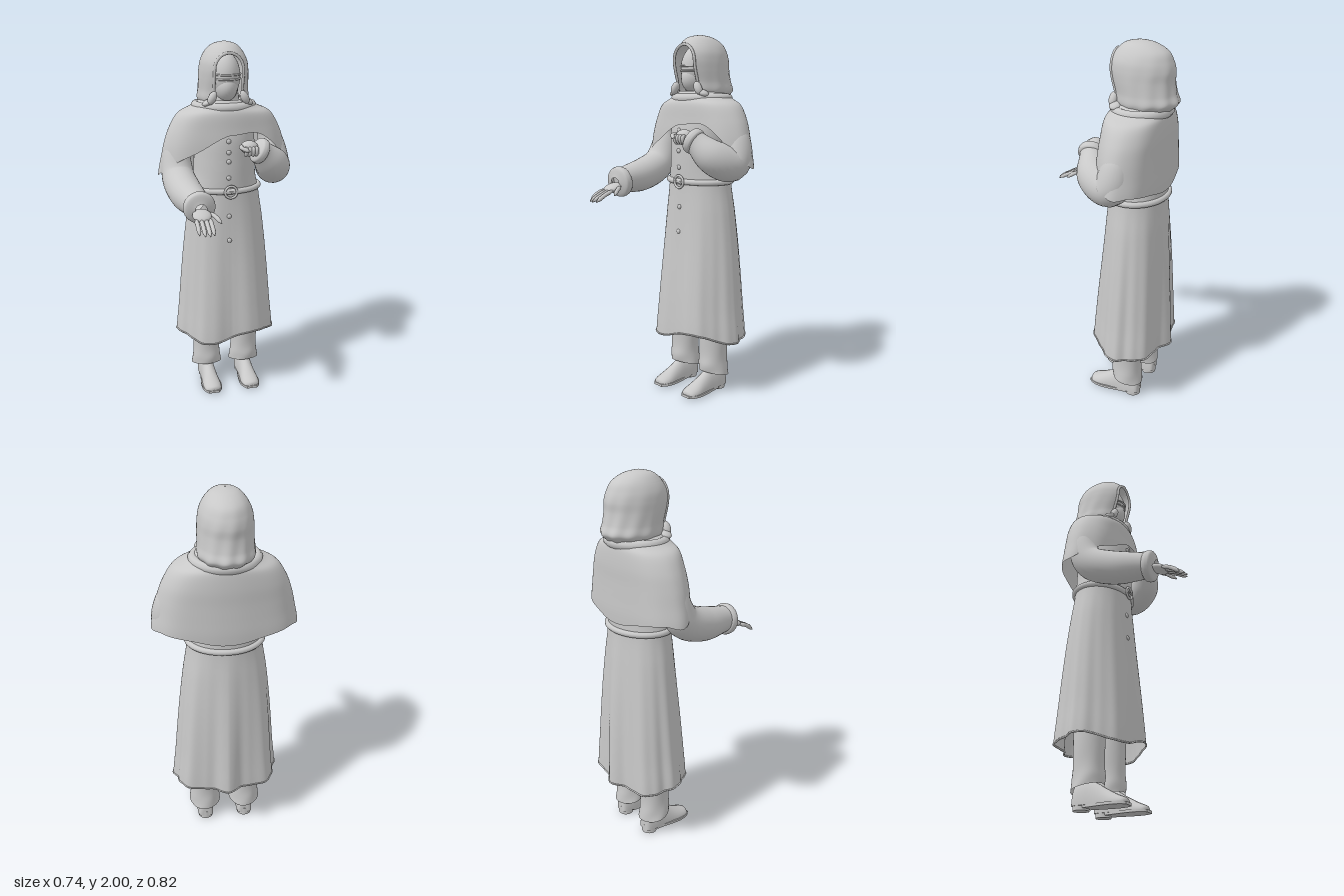
import * as THREE from 'three';

const cloth = new THREE.MeshStandardMaterial({ color: 0xc8c8c8, side: THREE.DoubleSide });
cloth.name = 'light grey';
const TAU = Math.PI * 2;
const V = (p) => new THREE.Vector3(...p);

// Smooth interpolation between evenly spaced rows of numbers, t in 0..1
function rows(table, t) {
  const n = table.length - 1;
  const i = Math.min(n - 1, Math.floor(t * n));
  const f = t * n - i;
  const [a, b, c, d] = [i - 1, i, i + 1, i + 2].map((k) => table[Math.max(0, Math.min(n, k))]);
  return b.map((q, k) => q + 0.5 * f * (c[k] - a[k]
    + f * (2 * a[k] - 5 * q + 4 * c[k] - d[k] + f * (3 * (q - c[k]) + d[k] - a[k]))));
}

// Grid surface from f(u, v) -> [x, y, z]; closed joins the u ends
function surface(nu, nv, f, closed = true) {
  const pos = [], idx = [];
  const cols = closed ? nu : nu + 1;
  for (let j = 0; j <= nv; j++) for (let i = 0; i < cols; i++) pos.push(...f(i / nu, j / nv));
  for (let j = 0; j < nv; j++) for (let i = 0; i < nu; i++) {
    const a = j * cols + i, b = j * cols + (i + 1) % cols;
    idx.push(a, a + cols, b, b, a + cols, b + cols);
  }
  const g = new THREE.BufferGeometry();
  g.setAttribute('position', new THREE.Float32BufferAttribute(pos, 3));
  g.setIndex(idx);
  g.computeVertexNormals();
  return g;
}

// Ring point: half width rx, front zf, back zb, scale k, angle 0 at the front; power under 1 squares it off
const soft = (q, power) => Math.sign(q) * Math.abs(q) ** power;
const ring = (th, y, rx, zf, zb, k = 1, power = 1) =>
  [rx * k * soft(Math.sin(th), power), y, (zf + zb) / 2 + (zf - zb) / 2 * k * soft(Math.cos(th), power)];

// Round tube of varying radius along a path
function sweep(points, radii, nu = 20, nv = 30) {
  const curve = new THREE.CatmullRomCurve3(points.map(V));
  const fr = curve.computeFrenetFrames(nv);
  return surface(nu, nv, (u, v) => {
    const j = Math.round(v * nv);
    const r = Math.max(0.001, rows(radii.map((q) => [q]), v)[0]);
    return curve.getPointAt(v)
      .addScaledVector(fr.normals[j], r * Math.cos(u * TAU))
      .addScaledVector(fr.binormals[j], -r * Math.sin(u * TAU)).toArray();
  });
}

// Horizontal elliptical band
function band(y, z, rx, rz, r) {
  const pts = Array.from({ length: 32 }, (_, i) =>
    V([rx * Math.sin(i / 32 * TAU), y, z + rz * Math.cos(i / 32 * TAU)]));
  return new THREE.TubeGeometry(new THREE.CatmullRomCurve3(pts, true), 64, r, 10, true);
}

export function createModel() {
  const model = new THREE.Group();
  const add = (name, geo, pos = [0, 0, 0], scale = [1, 1, 1], rot = [0, 0, 0]) => {
    const m = new THREE.Mesh(geo, cloth);
    m.name = name;
    m.position.set(...pos);
    m.scale.set(...scale);
    m.rotation.set(...rot);
    model.add(m);
  };
  const ball = new THREE.SphereGeometry(1, 28, 20);

  // Hood with an arched face opening
  const hood = [[2, 0.002, -0.18, -0.184], [1.985, 0.06, -0.11, -0.26], [1.95, 0.098, -0.065, -0.325],
    [1.905, 0.122, -0.037, -0.352], [1.86, 0.131, -0.031, -0.365], [1.81, 0.134, -0.042, -0.365],
    [1.75, 0.136, -0.06, -0.375], [1.705, 0.14, -0.065, -0.388], [1.672, 0.125, -0.08, -0.355]];
  const hoodPoint = (u, v) => {
    const [y, rx, zf, zb] = rows(hood, v);
    const arch = Math.min(1, Math.max(0, (y - 1.86) / 0.085));
    const a = Math.asin(Math.min(0.9, 0.077 * Math.sqrt(1 - arch * arch) / rx));
    const th = a + u * (TAU - 2 * a);
    const fold = 1 + 0.03 * v * v * Math.sin(th * 11 + v * 7) * Math.sin(u * Math.PI);
    return ring(th, y, rx, zf, zb, fold);
  };
  add('hood', surface(96, 80, hoodPoint, false));
  const rim = [0, 1].flatMap((u) => Array.from({ length: 14 }, (_, i) => {
    const s = (u ? 13 - i : i) / 13;
    return V(hoodPoint(u, 1 - 0.735 * Math.sin(s * Math.PI / 2)));
  }));
  add('hoodRim', new THREE.TubeGeometry(new THREE.CatmullRomCurve3(rim), 90, 0.008, 8));
  for (const s of [-1, 1]) {
    add('hoodGather', ball, [s * 0.088, 1.715, -0.08], [0.022, 0.038, 0.022], [0, 0, s * 0.5]);
    add('hoodGatherEnd', ball, [s * 0.108, 1.69, -0.1], [0.032, 0.016, 0.03], [0, 0, s * -0.4]);
  }

  // Masked face with a brow band and eye slit
  add('mask', ball, [0, 1.82, -0.165], [0.082, 0.125, 0.1]);
  add('chin', ball, [0, 1.765, -0.15], [0.064, 0.08, 0.09]);
  add('browBand', band(1.832, -0.165, 0.082, 0.102, 0.005));
  add('cheekBand', band(1.808, -0.165, 0.08, 0.1, 0.005));
  add('neck', new THREE.CylinderGeometry(0.075, 0.1, 0.16, 24), [0, 1.67, -0.19]);

  // Collar roll and shoulder cape draped over the upper arms
  add('collar', band(1.66, -0.2, 0.153, 0.132, 0.027));
  const cape = [[1.7, 0.12, -0.08, -0.32], [1.66, 0.185, -0.05, -0.34], [1.625, 0.255, -0.035, -0.348],
    [1.55, 0.303, -0.03, -0.352], [1.47, 0.332, -0.025, -0.35], [1.39, 0.35, -0.025, -0.35],
    [1.31, 0.366, -0.03, -0.35], [1.23, 0.37, -0.04, -0.345]];
  const capeHem = [0.48, 0.48, 0.7, 0.87, 0.87, 0.9, 0.95, 0.9, 0.87, 0.89, 0.77, 0.64, 0.48].map((q) => [q]);
  add('cape', surface(96, 36, (u, v) => {
    const th = u * TAU;
    const [y, rx, zf, zb] = rows(cape, v * rows(capeHem, u)[0]);
    return ring(th, y, rx, zf, zb, 1 + 0.01 * v * Math.cos(th * 8), 0.92);
  }));

  // Tunic body, belt and buckle
  const torso = [[1.62, 0.13, -0.06, -0.32], [1.5, 0.165, -0.035, -0.34], [1.38, 0.17, -0.033, -0.34],
    [1.28, 0.175, -0.035, -0.34], [1.19, 0.195, -0.04, -0.34]];
  add('tunic', surface(64, 20, (u, v) => ring(u * TAU, ...rows(torso, v))));
  add('belt', band(1.212, -0.19, 0.193, 0.152, 0.016));
  add('buckle', new THREE.TorusGeometry(0.033, 0.007, 10, 32), [0, 1.212, -0.024]);
  add('bucklePin', new THREE.BoxGeometry(0.06, 0.008, 0.008), [0, 1.212, -0.022]);

  // Pleated skirt, overlapping at the front slit; pleat depths run from front to back
  const skirt = [[0.193, -0.04, -0.34], [0.218, -0.03, -0.355], [0.238, -0.016, -0.37],
    [0.254, 0, -0.382], [0.268, 0.015, -0.392], [0.284, 0.026, -0.4]];
  const pleats = [-0.12, -0.03, 0.04, 0, -0.04, 0, 0.035, -0.01, 0.04, 0.05, -0.08, -0.11, 0.04].map((q) => [q]);
  const skirtPoint = (u, v) => {
    const th = -0.2 + u * (TAU + 0.14);
    const [rx, zf, zb] = rows(skirt, v);
    const hem = 0.335 + 0.03 * Math.sin(3 * th) * (0.5 + 0.5 * Math.cos(th)) + 0.012 * Math.cos(th);
    const depth = rows(pleats, Math.acos(Math.cos(th)) / Math.PI)[0] + 0.008 * Math.cos(19 * th);
    return ring(th, 1.21 + (hem - 1.21) * v, rx, zf, zb, 1 - 0.012 * u + depth * v ** 0.8);
  };
  add('skirt', surface(200, 36, skirtPoint, false));
  const hemLine = Array.from({ length: 161 }, (_, i) => V(skirtPoint(i / 160, 1)));
  add('skirtHem', new THREE.TubeGeometry(new THREE.CatmullRomCurve3(hemLine), 200, 0.005, 6));

  // Button row down the tunic and skirt
  for (const [y, z] of [[1.49, -0.035], [1.43, -0.033], [1.38, -0.032], [1.29, -0.034]])
    add('tunicButton', ball, [-0.01, y, z], [0.013, 0.013, 0.009]);
  for (const v of [0.16, 0.32]) add('skirtButton', ball, skirtPoint(0.0255, v), [0.013, 0.013, 0.009]);

  // Sleeves: right reaches forward, left is folded to the chest
  add('rightSleeve', sweep([[-0.22, 1.55, -0.19], [-0.265, 1.45, -0.185], [-0.272, 1.3, -0.13],
    [-0.257, 1.24, 0], [-0.225, 1.217, 0.2]], [0.04, 0.075, 0.09, 0.088, 0.07], 28, 40));
  add('leftSleeve', sweep([[0.22, 1.55, -0.19], [0.265, 1.45, -0.19], [0.27, 1.325, -0.155],
    [0.235, 1.355, -0.055], [0.15, 1.445, 0.01]], [0.04, 0.078, 0.097, 0.09, 0.06], 28, 40));
  const cuff = [0.03, 0.074, 0.083, 0.083, 0.074, 0.03];
  add('rightCuff', sweep([[-0.225, 1.217, 0.17], [-0.22, 1.208, 0.245]], cuff, 28, 20));
  add('leftCuff', sweep([[0.18, 1.425, 0.004], [0.118, 1.458, 0.016]], cuff.map((r) => r * 0.84), 28, 20));

  // Right hand, open
  add('rightPalm', ball, [-0.22, 1.184, 0.262], [0.049, 0.022, 0.052], [0.32, 0, 0]);
  const finger = [0.003, 0.011, 0.011, 0.011, 0.0105, 0.003];
  [[-0.256, 0.385], [-0.231, 0.405], [-0.207, 0.41], [-0.185, 0.4]].forEach(([x, z]) =>
    add('rightFinger', sweep([[x, 1.175, 0.285], [x, 1.155, 0.34], [x, 1.122, z]], finger, 10, 14)));
  add('rightThumb', sweep([[-0.18, 1.19, 0.24], [-0.155, 1.18, 0.28], [-0.132, 1.155, 0.32]], finger, 10, 14));

  // Left hand, curled
  add('leftPalm', ball, [0.088, 1.465, 0.02], [0.048, 0.036, 0.042]);
  for (let i = 0; i < 4; i++) {
    const x = 0.062 + i * 0.019;
    add('leftFinger', sweep([[x, 1.475, 0.045], [x, 1.46, 0.062], [x, 1.435, 0.055], [x, 1.43, 0.03]], finger, 10, 14));
  }
  add('leftThumb', sweep([[0.05, 1.475, 0.02], [0.037, 1.472, 0.055], [0.075, 1.455, 0.085]], finger, 10, 14));

  // Trousers and shoes
  const leg = [[0.65, 0.078, -0.105, -0.275], [0.35, 0.08, -0.108, -0.275], [0.22, 0.078, -0.11, -0.27],
    [0.15, 0.083, -0.105, -0.275], [0.105, 0.088, -0.11, -0.28]];
  const shoe = [[-0.268, 0.004, 0.01], [-0.262, 0.038, 0.1], [-0.21, 0.046, 0.13], [-0.15, 0.045, 0.115],
    [-0.09, 0.048, 0.08], [-0.03, 0.053, 0.048], [0.012, 0.045, 0.03], [0.028, 0.024, 0.02], [0.031, 0.003, 0.005]];
  const outline = new THREE.Shape();
  outline.moveTo(-0.04, -0.2);
  outline.bezierCurveTo(-0.045, -0.12, -0.085, -0.02, -0.03, 0.034);
  outline.lineTo(0.03, 0.034);
  outline.bezierCurveTo(0.085, -0.02, 0.045, -0.12, 0.04, -0.2);
  const sole = new THREE.ExtrudeGeometry(outline, { depth: 0.014, bevelEnabled: false, curveSegments: 16 });
  for (const [side, x] of [['left', 0.115], ['right', -0.115]]) {
    add(side + 'Trouser', surface(32, 24, (u, v) => {
      const th = u * TAU;
      const [y, rx, zf, zb] = rows(leg, v);
      return ring(th, y + 0.02 * v * Math.cos(th), rx, zf, zb, 1 + 0.02 * v * Math.sin(th * 4 + v * 9));
    }), [x, 0, 0]);
    add(side + 'Shoe', surface(28, 32, (u, v) => {
      const [z, w, h] = rows(shoe, v);
      return [w * Math.sin(u * TAU), 0.022 + h * Math.max(0, Math.cos(u * TAU)), z];
    }), [x, 0, 0]);
    add(side + 'Sole', sole, [x, 0.024, 0], [1, 1, 1], [Math.PI / 2, 0, 0]);
    add(side + 'Heel', new THREE.CylinderGeometry(0.042, 0.042, 0.05, 20), [x, 0.025, -0.228]);
  }
  return model;
}
